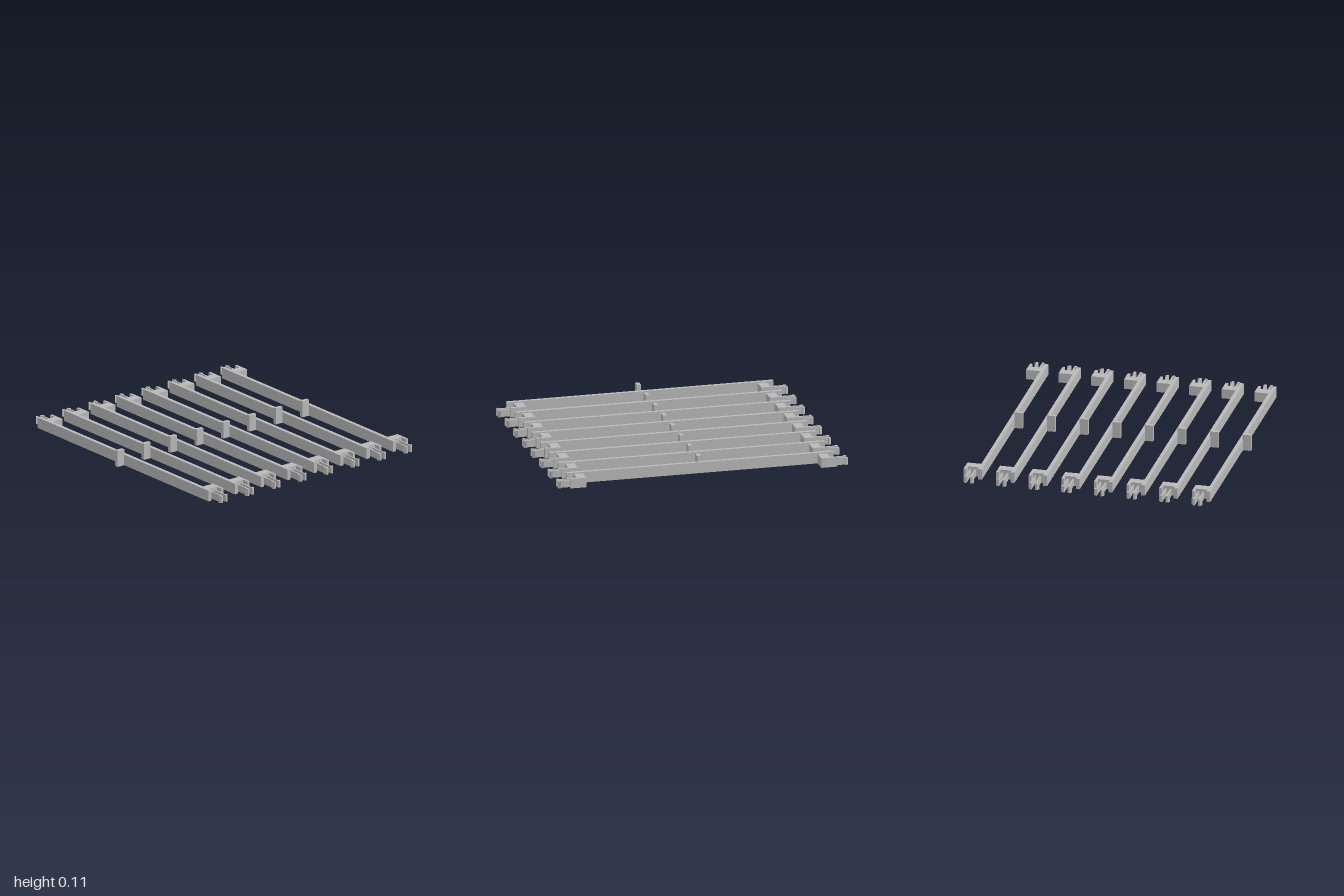
import * as THREE from 'three';

const COUNT = 8;
const PITCH = 0.2242;

export function createModel() {
  const model = new THREE.Group();
  model.name = 'railSet';
  const grey = new THREE.MeshStandardMaterial({ color: 0xb8b8b8 });
  grey.name = 'plainGrey';

  // Raises a floor plan of [x, z] points from y = 0 to the given height
  const raisePlan = (points, height) => {
    const shape = new THREE.Shape(points.map(([x, z]) => new THREE.Vector2(x, -z)));
    const geometry = new THREE.ExtrudeGeometry(shape, { depth: height, bevelEnabled: false });
    return geometry.rotateX(-Math.PI / 2);
  };
  const add = (parent, name, geometry, x = 0, y = 0, z = 0) => {
    const mesh = new THREE.Mesh(geometry, grey);
    mesh.name = name;
    mesh.position.set(x, y, z);
    parent.add(mesh);
  };

  // Long bar and the upright tab at its middle, with x measured from the tab's outer edge
  const barGeometry = new THREE.BoxGeometry(0.026, 0.075, 1.84);
  const tabGeometry = new THREE.BoxGeometry(0.056, 0.113, 0.027);

  // End block with a side cheek, and two barbed clip legs, for each end
  const ends = [1, -1].map((end) => ({
    name: end > 0 ? 'front' : 'back',
    block: raisePlan([
      [0.081, 0.81], [0.181, 0.81], [0.181, 0.92], [0.163, 0.92],
      [0.163, 0.873], [0.081, 0.873],
    ].map(([x, z]) => [x, z * end]), 0.067),
    legs: [-1, 1].map((side) => raisePlan([
      [0.012, 0.873], [0.022, 0.873], [0.022, 0.983],
      [0.037, 0.983], [0.025, 1], [0.012, 1],
    ].map(([x, z]) => [0.129 + x * side, z * end]), 0.048)),
  }));

  for (let i = 0; i < COUNT; i++) {
    const rail = new THREE.Group();
    rail.name = `rail${i + 1}`;
    rail.position.x = -0.875 + i * PITCH;
    add(rail, 'bar', barGeometry, 0.068, 0.0375, 0);
    add(rail, 'centreTab', tabGeometry, 0.028, 0.0565, 0);
    for (const { name, block, legs } of ends) {
      add(rail, `${name}Block`, block);
      add(rail, `${name}RightClip`, legs[0]);
      add(rail, `${name}LeftClip`, legs[1]);
    }
    model.add(rail);
  }
  return model;
}
